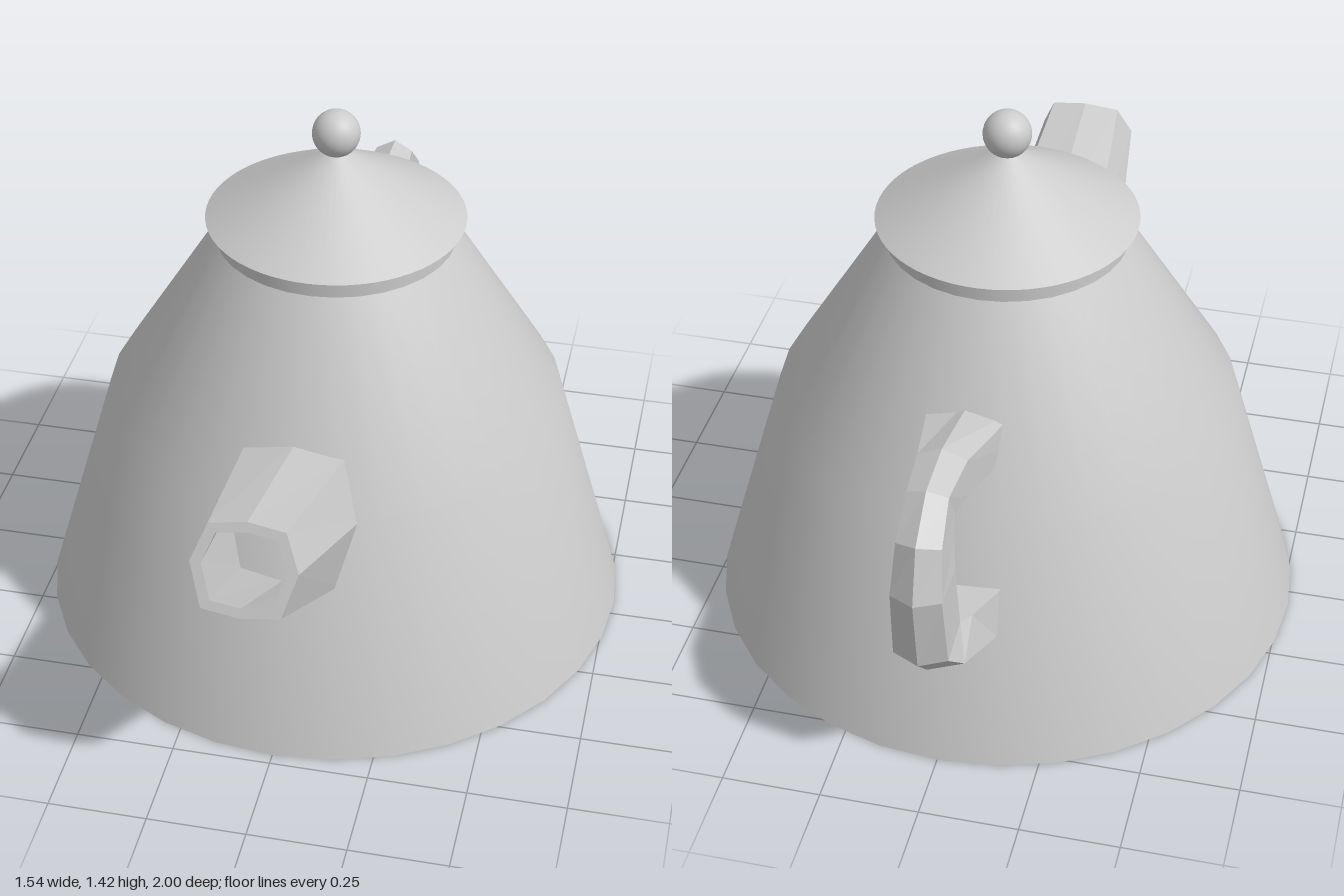
import * as THREE from 'three';

const CENTER_Z = -0.05; // body axis
const SIDES = 32;

// Flat-shaded skin through rings of [x, y, z] points (counter-clockwise about the travel direction)
function loft(rings) {
  const pos = [];
  for (let i = 0; i < rings.length - 1; i++) {
    const a = rings[i], b = rings[i + 1], n = a.length;
    for (let j = 0; j < n; j++) {
      const k = (j + 1) % n;
      pos.push(...a[j], ...a[k], ...b[k], ...a[j], ...b[k], ...b[j]);
    }
  }
  const geo = new THREE.BufferGeometry();
  geo.setAttribute('position', new THREE.Float32BufferAttribute(pos, 3));
  geo.computeVertexNormals();
  return geo;
}

export function createModel() {
  const group = new THREE.Group();
  const smooth = new THREE.MeshStandardMaterial({ color: 0xcccccc, side: THREE.DoubleSide });
  const faceted = new THREE.MeshStandardMaterial({ color: 0xcccccc, flatShading: true, side: THREE.DoubleSide });

  const add = (name, geo, mat, y = 0, z = 0) => {
    const mesh = new THREE.Mesh(geo, mat);
    mesh.name = name;
    mesh.position.set(0, y, z);
    group.add(mesh);
    return mesh;
  };

  // Body: two smooth slopes, a flat base and a short upright collar
  const profile = [[0.77, 0], [0.59, 0.62], [0.305, 1.08]].map(p => new THREE.Vector2(...p));
  add('body', new THREE.LatheGeometry(profile, SIDES), smooth, 0, CENTER_Z);
  add('base', new THREE.CircleGeometry(0.77, SIDES).rotateX(Math.PI / 2).rotateY(Math.PI / 2), smooth, 0, CENTER_Z);
  add('collar', new THREE.CylinderGeometry(0.305, 0.305, 0.05, SIDES, 1, true), smooth, 1.105, CENTER_Z);

  // Lid and knob
  add('lid', new THREE.ConeGeometry(0.328, 0.195, 64), smooth, 1.2275, CENTER_Z);
  add('knob', new THREE.SphereGeometry(0.06, 32, 20), smooth, 1.362, CENTER_Z);

  // Spout: tapered eight-sided tube, outer wall to the rim and back down the bore
  const axis = [0.399, 0.917]; // y, z
  const octagon = [[1, 0.06], [0.72, 0.88], [0, 1], [-0.72, 0.88], [-1, 0.06], [-0.74, -0.89], [0, -1], [0.74, -0.89]];
  const spoutRing = (dist, rx, ry) => octagon.map(([u, v]) => [
    u * rx,
    0.79 + axis[0] * dist + axis[1] * v * ry,
    0.955 + axis[1] * dist - axis[0] * v * ry,
  ]);
  add('spout', loft([
    spoutRing(-0.53, 0.178, 0.19),
    spoutRing(0, 0.127, 0.114),
    spoutRing(0, 0.1, 0.09),
    spoutRing(-0.53, 0.15, 0.165),
  ]), faceted);

  // Handle: five-sided section with a ridge along the outside
  // [outer z, outer y, inner z, inner y, half width]
  const sections = [
    [-0.40, 0.832, -0.43, 0.715, 0.11],
    [-0.71, 0.904, -0.70, 0.768, 0.06],
    [-0.855, 0.893, -0.79, 0.785, 0.05],
    [-0.957, 0.807, -0.82, 0.725, 0.055],
    [-0.997, 0.663, -0.845, 0.66, 0.062],
    [-0.968, 0.455, -0.825, 0.48, 0.067],
    [-0.888, 0.37, -0.79, 0.476, 0.088],
    [-0.72, 0.315, -0.68, 0.465, 0.128],
    [-0.62, 0.282, -0.60, 0.456, 0.14],
  ];
  add('handle', loft(sections.map(([oz, oy, iz, iy, w]) => {
    const sy = oy + (iy - oy) * 0.2, sz = oz + (iz - oz) * 0.2;
    return [[w, sy, sz], [w, iy, iz], [-w, iy, iz], [-w, sy, sz], [0, oy, oz]];
  })), faceted);

  return group;
}
